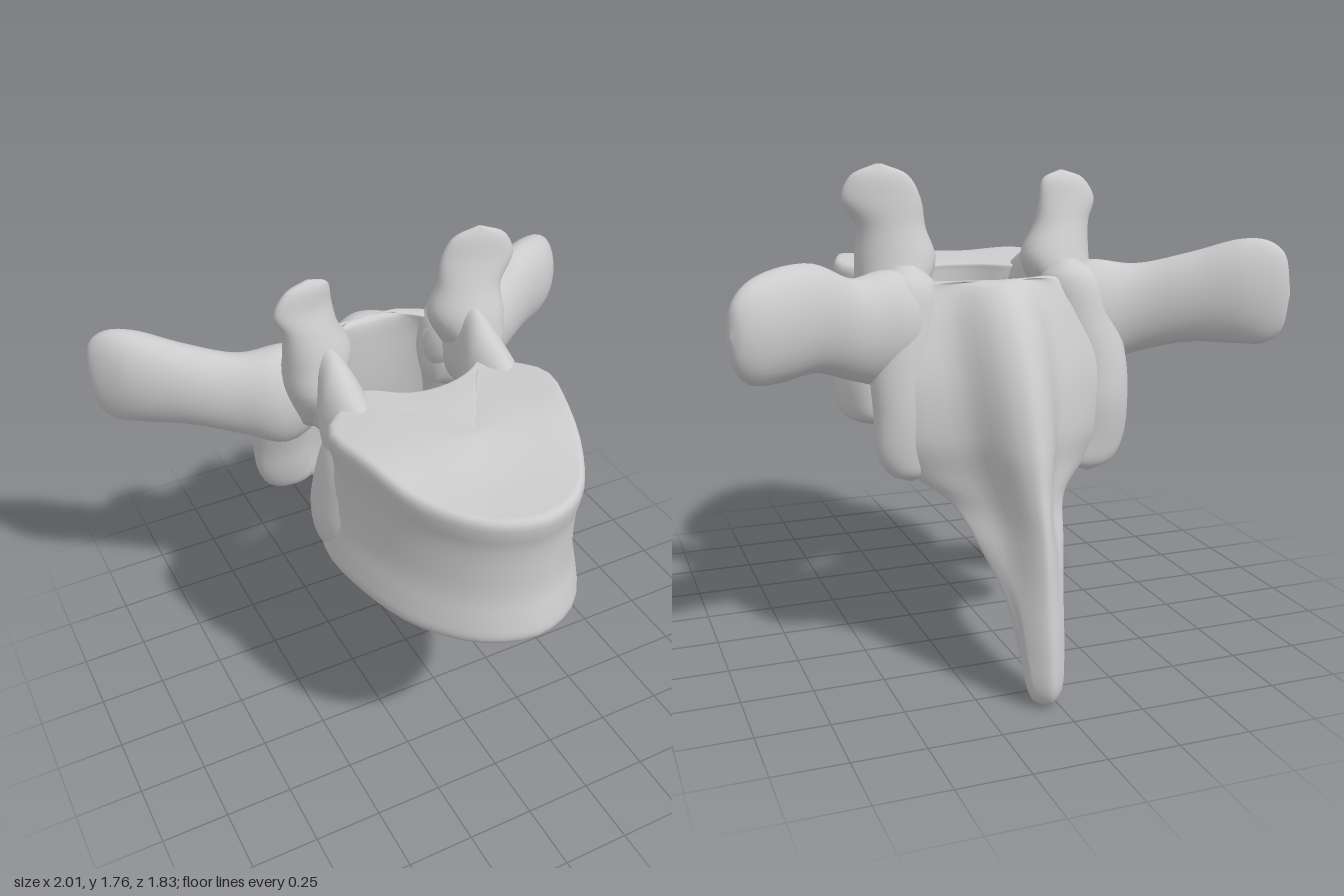
import * as THREE from 'three';

const V = (x, y, z) => new THREE.Vector3(x, y, z);
const X = V(1, 0, 0), Y = V(0, 1, 0), Z = V(0, 0, 1);
const material = new THREE.MeshStandardMaterial({ color: 0xcccccc });
const { lerp, smoothstep } = THREE.MathUtils;

// Closed smooth ring through a few control points
function smoothRing(points, n = 56) {
  const curve = new THREE.CatmullRomCurve3(points, true);
  return Array.from({ length: n }, (_, i) => curve.getPoint(i / n));
}

// Oval ring about a centre, spanned by two axes
function oval(c, u, ru, v, rv, n = 32) {
  return Array.from({ length: n }, (_, i) => {
    const a = (i / n) * Math.PI * 2;
    return c.clone().addScaledVector(u, ru * Math.cos(a)).addScaledVector(v, rv * Math.sin(a));
  });
}

// Smooth closed skin over a list of rings
function loft(name, rings, steps = 5) {
  const n = rings[0].length, rows = (rings.length - 1) * steps + 1;
  const columns = rings[0].map((_, i) => new THREE.CatmullRomCurve3(rings.map((r) => r[i])));
  const pos = [], idx = [];
  for (let j = 0; j < rows; j++) {
    for (const c of columns) pos.push(...c.getPoint(j / (rows - 1)).toArray());
  }
  for (let j = 0; j < rows - 1; j++) {
    for (let i = 0; i < n; i++) {
      const k = (i + 1) % n, a = j * n + i, b = j * n + k;
      idx.push(a, b, b + n, a, b + n, a + n);
    }
  }
  // end caps
  [0, rows - 1].forEach((row, end) => {
    const c = rings[end ? rings.length - 1 : 0].reduce((s, p) => s.add(p), V(0, 0, 0)).divideScalar(n);
    const id = pos.length / 3;
    pos.push(c.x, c.y, c.z);
    for (let i = 0; i < n; i++) {
      const a = row * n + i, b = row * n + ((i + 1) % n);
      idx.push(...(end ? [id, a, b] : [id, b, a]));
    }
  });
  // turn the faces outward if the signed volume is negative
  let vol = 0;
  const at = (i) => V(pos[i * 3], pos[i * 3 + 1], pos[i * 3 + 2]);
  for (let i = 0; i < idx.length; i += 3) vol += at(idx[i]).dot(at(idx[i + 1]).cross(at(idx[i + 2])));
  if (vol < 0) idx.reverse();
  const g = new THREE.BufferGeometry();
  g.setAttribute('position', new THREE.Float32BufferAttribute(pos, 3));
  g.setIndex(idx);
  g.computeVertexNormals();
  const mesh = new THREE.Mesh(g, material);
  mesh.name = name;
  return mesh;
}

// Limb from rows of [x, y, z, radius along u, radius along v]
const limb = (name, u, v, rows) =>
  loft(name, rows.map(([x, y, z, a, b]) => oval(V(x, y, z), u, a, v, b)));

// Vertebral body: heart-shaped outline, waisted, with rounded rims
function vertebralBody() {
  const outline = [
    [0.03, 0.905], [0.2, 0.84], [0.33, 0.66], [0.41, 0.44], [0.46, 0.22], [0.44, 0.07], [0.37, 0.0],
    [0.27, 0.05], [0.18, 0.11], [0.06, 0.14], [-0.06, 0.12], [-0.16, 0.05],
    [-0.27, 0.0], [-0.36, 0.05], [-0.41, 0.2], [-0.38, 0.44], [-0.3, 0.66], [-0.15, 0.84],
  ];
  const cx = 0.03, cz = 0.45;
  const top = (z) => 1.38 - 0.05 * smoothstep(z, 0.42, 0.78) - 0.02 * (1 - smoothstep(z, 0.1, 0.35));
  const bottom = (z) => 0.775 + 0.13 * Math.max(0, z - 0.5) ** 2;
  // [height fraction, scale]
  const levels = [[0.03, 0.02], [0.02, 0.5], [0.0, 0.88], [0.015, 0.97], [0.07, 1.025], [0.18, 1.005], [0.35, 0.955],
    [0.55, 0.94], [0.75, 0.95], [0.88, 0.985], [0.96, 0.99], [0.995, 0.96], [1, 0.88], [0.985, 0.5], [0.98, 0.02]];
  return loft('vertebralBody', levels.map(([f, s]) => smoothRing(outline.map(([x, z]) => {
    // the canal wall stays in place while the rim breathes in and out
    const k = z < 0.17 && Math.abs(x - cx) < 0.26 && s > 0.9 ? 1 : s;
    // the back corners draw in toward the pedicles near the top
    const draw = z < 0.1 && Math.abs(x - cx) > 0.32 ? 1 - 0.2 * smoothstep(f, 0.4, 1) : 1;
    const px = cx + (x - cx) * k * draw, pz = cz + (z - cz) * k;
    return V(px, lerp(bottom(pz), top(pz), f), pz);
  }))), 4);
}

// Laminae narrowing downward into the spine at the back
function laminaAndSpine() {
  // [y, half width, side z, side half thickness, front z, back z, fullness]
  const rows = [
    [1.37, 0.14, -0.39, 0.01, -0.4, -0.43, 0.5],
    [1.35, 0.29, -0.32, 0.04, -0.38, -0.48, 0.5],
    [1.25, 0.41, -0.31, 0.08, -0.375, -0.58, 0.45],
    [1.05, 0.44, -0.365, 0.08, -0.385, -0.7, 0.42],
    [0.85, 0.42, -0.4, 0.06, -0.42, -0.775, 0.4],
    [0.72, 0.33, -0.43, 0.045, -0.45, -0.81, 0.4],
    [0.62, 0.21, -0.51, 0.04, -0.48, -0.84, 0.48],
    [0.5, 0.155, -0.63, 0.04, -0.55, -0.865, 0.58],
    [0.35, 0.105, -0.75, 0.03, -0.66, -0.885, 0.75],
    [0.18, 0.078, -0.82, 0.03, -0.74, -0.91, 0.8],
    [0.06, 0.062, -0.85, 0.02, -0.79, -0.915, 0.8],
    [0.015, 0.04, -0.85, 0.01, -0.815, -0.89, 0.8],
    [0, 0.008, -0.845, 0.003, -0.84, -0.85, 0.8],
  ];
  return loft('laminaAndSpine', rows.map(([y, w, zs, t, zf, zb, m]) => {
    const half = [
      [m * 0.4 * w, lerp(zb, zs, 0.12)], [m * w, lerp(zb, zs, 0.55)], [0.88 * w, zs - t],
      [w, zs], [0.88 * w, zs + t], [0.5 * w, lerp(zf, zs, 0.45)],
    ];
    return smoothRing([
      V(0.04, y, zb), ...half.map(([x, z]) => V(0.04 + x, y, z)),
      V(0.04, y, zf), ...half.reverse().map(([x, z]) => V(0.04 - x, y, z)),
    ]);
  }));
}

export function createModel() {
  const group = new THREE.Group();
  group.name = 'vertebra';
  group.add(vertebralBody(), laminaAndSpine());

  // Transverse wings, sweeping out and back from flared roots
  group.add(limb('leftTransverseWing', Y, V(0.5, 0, 0.87), [
    [0.24, 1.22, -0.25, 0.12, 0.06], [0.4, 1.21, -0.31, 0.2, 0.145], [0.55, 1.22, -0.37, 0.175, 0.11],
    [0.7, 1.28, -0.44, 0.18, 0.105], [0.85, 1.275, -0.53, 0.18, 0.1], [0.94, 1.265, -0.59, 0.155, 0.075],
    [0.985, 1.265, -0.62, 0.1, 0.04], [1, 1.265, -0.63, 0.01, 0.005],
  ]));
  group.add(limb('rightTransverseWing', Y, V(-0.5, 0, 0.87), [
    [-0.18, 1.23, -0.25, 0.12, 0.05], [-0.35, 1.21, -0.28, 0.2, 0.14], [-0.52, 1.23, -0.33, 0.165, 0.105],
    [-0.7, 1.275, -0.42, 0.165, 0.1], [-0.85, 1.3, -0.51, 0.19, 0.095], [-0.93, 1.3, -0.56, 0.185, 0.07],
    [-0.98, 1.3, -0.59, 0.14, 0.04], [-1, 1.3, -0.605, 0.01, 0.005],
  ]));

  // Upper joint paddles: wide necks rising to flat upright heads
  group.add(limb('leftUpperJoint', V(0.98, 0, 0.2), Z, [
    [0.37, 1.13, -0.2, 0.05, 0.06], [0.37, 1.3, -0.19, 0.11, 0.15], [0.345, 1.43, -0.18, 0.14, 0.12],
    [0.36, 1.54, -0.185, 0.12, 0.075], [0.395, 1.64, -0.19, 0.138, 0.048], [0.4, 1.72, -0.19, 0.1, 0.03],
    [0.4, 1.76, -0.185, 0.01, 0.008],
  ]));
  group.add(limb('rightUpperJoint', V(-0.99, 0, 0.12), Z, [
    [-0.29, 1.13, -0.2, 0.05, 0.06], [-0.29, 1.3, -0.19, 0.11, 0.15], [-0.265, 1.42, -0.18, 0.135, 0.12],
    [-0.295, 1.54, -0.17, 0.11, 0.075], [-0.315, 1.62, -0.17, 0.115, 0.048], [-0.3, 1.695, -0.165, 0.085, 0.03],
    [-0.295, 1.725, -0.16, 0.01, 0.008],
  ]));

  // Side pillars behind the pedicles, running down into the lower joints
  group.add(limb('leftLowerJoint', X, Z, [
    [0.34, 1.42, -0.29, 0.03, 0.03], [0.35, 1.36, -0.29, 0.11, 0.11], [0.36, 1.22, -0.3, 0.14, 0.14],
    [0.38, 1.06, -0.37, 0.115, 0.1], [0.385, 0.92, -0.4, 0.105, 0.085],
    [0.39, 0.79, -0.415, 0.095, 0.065], [0.375, 0.72, -0.42, 0.07, 0.045], [0.365, 0.69, -0.42, 0.01, 0.01],
  ]));
  group.add(limb('rightLowerJoint', X, Z, [
    [-0.26, 1.42, -0.29, 0.03, 0.03], [-0.28, 1.36, -0.28, 0.11, 0.11], [-0.31, 1.22, -0.29, 0.14, 0.14],
    [-0.35, 1.06, -0.365, 0.115, 0.1], [-0.35, 0.92, -0.4, 0.11, 0.085],
    [-0.335, 0.78, -0.41, 0.11, 0.065], [-0.31, 0.7, -0.42, 0.09, 0.045], [-0.3, 0.665, -0.43, 0.01, 0.01],
  ]));

  // Pedicles and the rib facets at the back corners of the body
  for (const [side, s, cx] of [['left', 1, 0.33], ['right', -1, -0.26]]) {
    group.add(limb(side + 'Pedicle', X, Y, [
      [cx - s * 0.02, 1.22, 0.27, 0.03, 0.08], [cx, 1.21, 0.15, 0.085, 0.165], [cx, 1.24, 0.03, 0.095, 0.19],
      [cx, 1.295, -0.07, 0.068, 0.19], [cx + s * 0.02, 1.29, -0.18, 0.09, 0.18],
      [cx + s * 0.04, 1.24, -0.3, 0.09, 0.16], [cx + s * 0.05, 1.22, -0.38, 0.04, 0.1],
    ]));
    group.add(limb(side + 'RibFacet', X, Z, [
      [cx + s * 0.06, 0.785, 0.12, 0.02, 0.03], [cx + s * 0.07, 0.81, 0.12, 0.075, 0.15], [cx + s * 0.07, 0.91, 0.13, 0.093, 0.185],
      [cx + s * 0.05, 1.05, 0.13, 0.09, 0.18], [cx + s * 0.02, 1.17, 0.12, 0.085, 0.15], [cx, 1.28, 0.11, 0.04, 0.07],
    ]));
  }
  return group;
}
